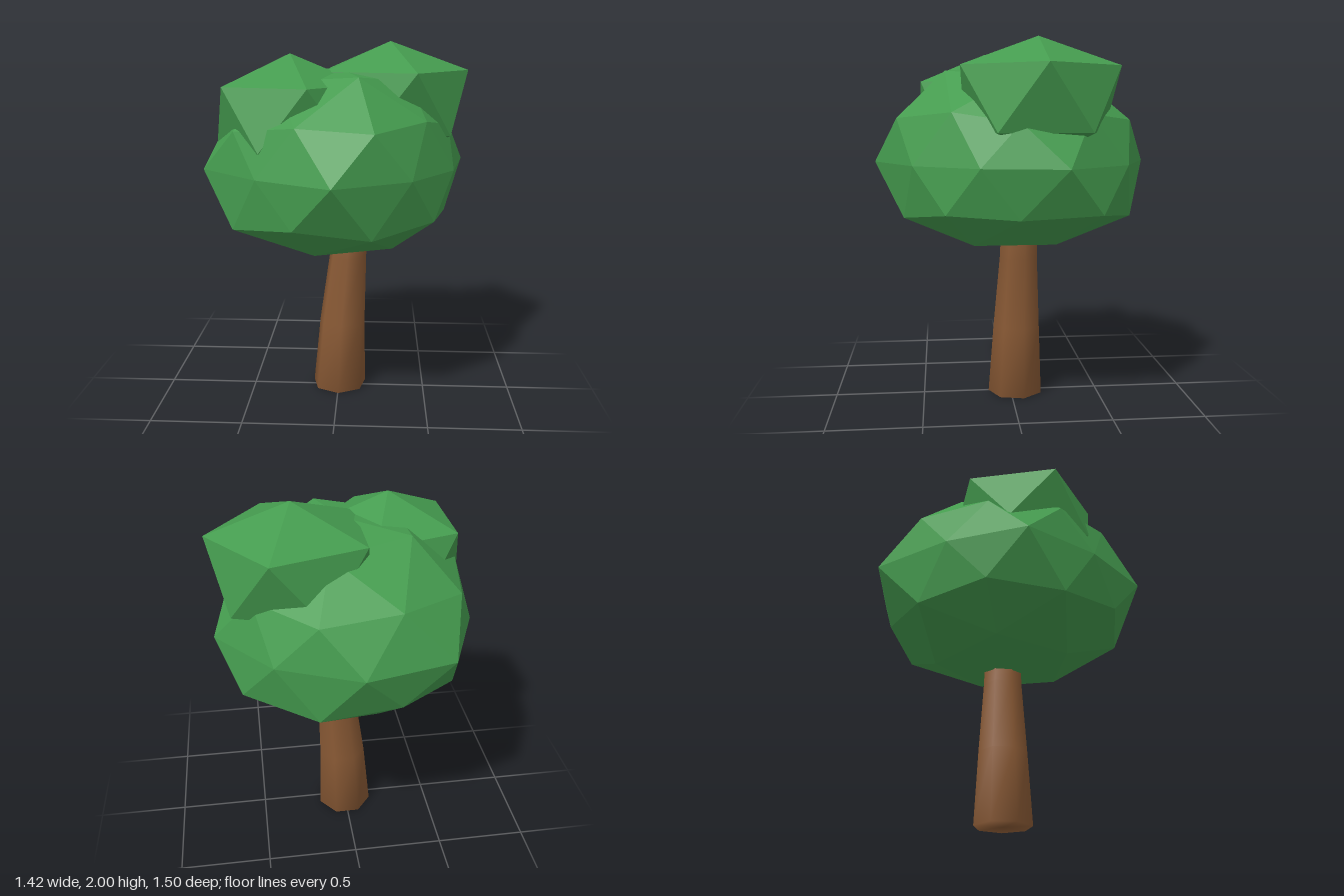
import * as THREE from 'three';

// A ring of points around a vertical axis; radii and heights repeat to fill the count.
function ring(count, startDeg, radii, heights, cx = 0, cz = 0) {
  const pick = (v, i) => (Array.isArray(v) ? v[i % v.length] : v);
  return Array.from({ length: count }, (_, i) => {
    const angle = startDeg + (360 / count) * i;
    const a = THREE.MathUtils.degToRad(angle);
    const r = pick(radii, i);
    return { angle, p: [cx + r * Math.cos(a), pick(heights, i), cz + r * Math.sin(a)] };
  });
}

// Joins rings, listed from top to bottom, into a closed triangle surface.
function stitch(rings, flat) {
  const positions = [], index = [], starts = [];
  for (const r of rings) {
    starts.push(positions.length / 3);
    r.forEach((v) => positions.push(...v.p));
  }
  for (let k = 0; k < rings.length - 1; k++) {
    const U = rings[k], L = rings[k + 1];
    const n = U.length, m = L.length;
    const angleAt = (R, i) => R[0].angle + (360 / R.length) * i;
    const u = (i) => starts[k] + (i % n), l = (j) => starts[k + 1] + (j % m);
    let i = 0, j = 0;
    while (i < n || j < m) {
      const d = angleAt(U, i + 1) - angleAt(L, j + 1);
      const upper = j >= m || (i < n && (Math.abs(d) < 0.01 ? n < m : d < 0));
      if (upper) {
        if (n > 1) index.push(u(i), u(i + 1), l(j));
        i++;
      } else {
        if (m > 1) index.push(u(i), l(j + 1), l(j));
        j++;
      }
    }
  }
  let g = new THREE.BufferGeometry();
  g.setAttribute('position', new THREE.Float32BufferAttribute(positions, 3));
  g.setIndex(index);
  if (flat) g = g.toNonIndexed();
  g.computeVertexNormals();
  return g;
}

// Twelve-cornered leaf clump: point, two staggered pentagons, point.
function clump(cx, cz, top, upperY, lowerY, bottom, upperR, lowerR) {
  return stitch([
    ring(1, 0, 0, top, cx, cz),
    ring(5, 0, upperR, upperY, cx, cz),
    ring(5, 36, lowerR, lowerY, cx, cz),
    ring(1, 36, 0, bottom, cx, cz),
  ], true);
}

export function createModel() {
  const leaf = new THREE.MeshStandardMaterial({ color: 0x459c4f });
  leaf.name = 'leaf green';
  const bark = new THREE.MeshStandardMaterial({ color: 0x8a5a35 });
  bark.name = 'bark brown';

  const tree = new THREE.Group();
  tree.name = 'tree';
  const add = (name, geometry, material) => {
    const mesh = new THREE.Mesh(geometry, material);
    mesh.name = name;
    tree.add(mesh);
  };

  // Seven-sided leaning trunk, rounded by smooth normals
  add('trunk', stitch([
    ring(1, 90, 0, 1.15, 0.09, -0.05),
    ring(7, 90, 0.1, 1.15, 0.09, -0.05),
    ring(7, 90, 0.108, 0.8, 0.052, -0.044),
    ring(7, 90, 0.134, 0.4, 0.02, -0.036),
    ring(7, 90, 0.157, 0, 0.003, -0.03),
    ring(1, 90, 0, 0, 0.003, -0.03),
  ], false), bark);

  // Wide main crown with slightly uneven facets
  add('mainCrown', stitch([
    ring(1, 0, 0, 1.86, 0, -0.02),
    ring(5, 0, 0.38, [1.79, 1.83, 1.8, 1.83, 1.8]),
    ring(10, 0, [0.6, 0.57, 0.65, 0.6, 0.64, 0.6, 0.66, 0.64, 0.66, 0.62], [1.56, 1.61, 1.58, 1.6, 1.56, 1.6, 1.58, 1.61, 1.57, 1.6]),
    ring(10, 18, [0.65, 0.66, 0.75, 0.66, 0.745, 0.68, 0.79, 0.75, 0.71, 0.735], 1.34),
    ring(10, 36, [0.63, 0.62, 0.65, 0.66, 0.635, 0.65, 0.67, 0.67, 0.71, 0.59], [1.1, 1.05, 1.1, 1.05, 1.11, 1.06, 1.1, 1.05, 1.1, 1.08]),
    ring(5, 36, [0.37, 0.36, 0.36, 0.41, 0.37], [0.91, 0.9, 0.93, 0.89, 0.91]),
    ring(1, 36, 0, 0.865),
  ], true), leaf);

  // Two smaller clumps on top
  add('leftCrown', clump(0.28, -0.12, 2, 1.845, 1.51, 1.33, 0.43, 0.4), leaf);
  add('rightCrown', clump(-0.25, 0.125, 1.94, 1.78, 1.465, 1.3, [0.39, 0.39, 0.4, 0.4, 0.39], 0.4), leaf);

  return tree;
}
